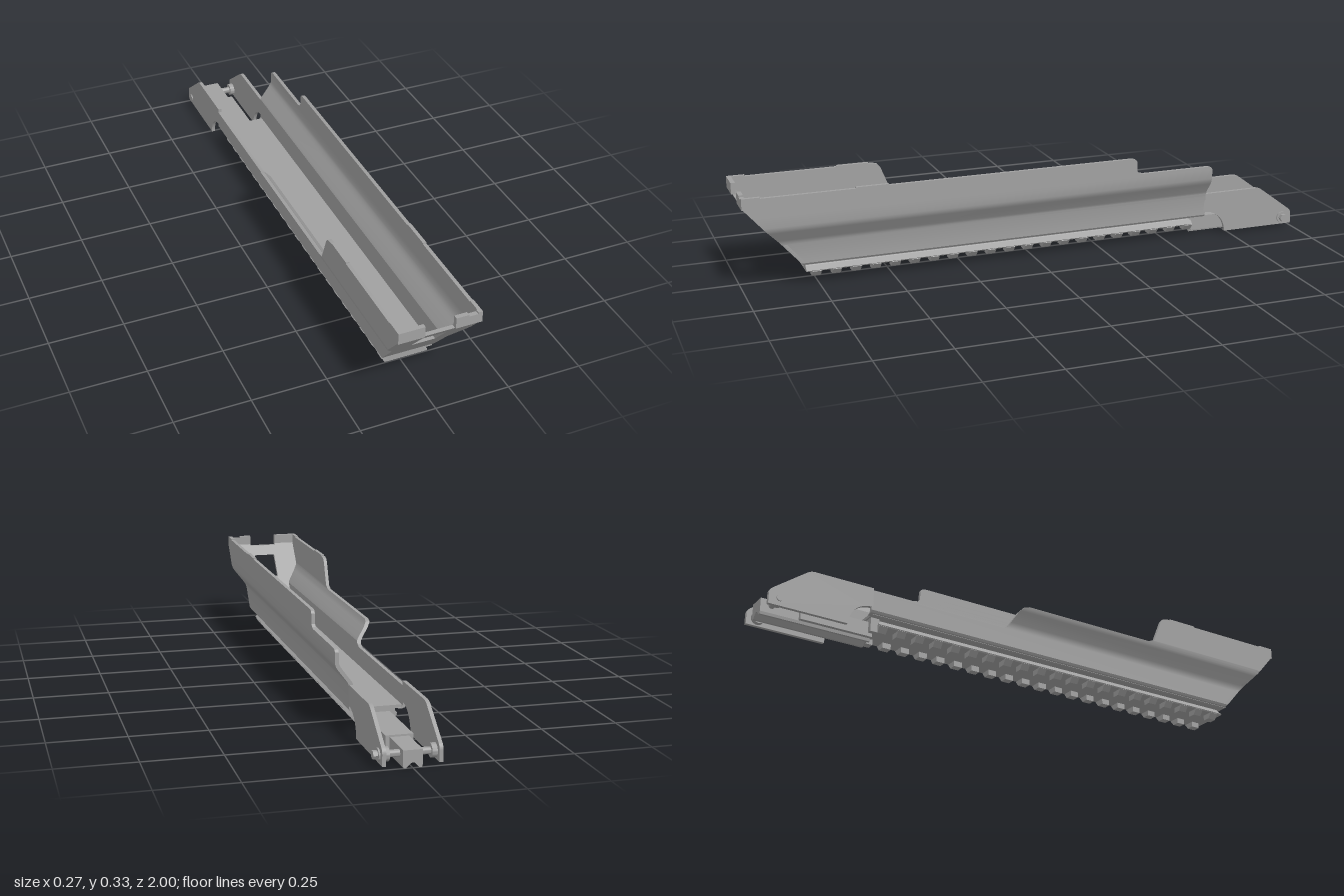
import * as THREE from 'three';
import { toCreasedNormals } from 'three/addons/utils/BufferGeometryUtils.js';

const steel = new THREE.MeshStandardMaterial({ color: 0xa0a0a0, side: THREE.DoubleSide });
steel.name = 'grey steel';

const T = 0.012; // sheet thickness
const SLOPE = 0.87; // lean of the front plate
const frontZ = (y) => Math.min(1, 0.8 + (y - 0.07) * SLOPE);

// half of the channel section: [y, x]
const SECTION = [[0.07, 0.078], [0.073, 0.087], [0.08, 0.092], [0.15, 0.092], [0.16, 0.0945],
  [0.168, 0.099], [0.205, 0.127], [0.215, 0.1335], [0.227, 0.137], [0.333, 0.137]];

function lerpTable(table, t) {
  for (let i = 1; i < table.length; i++) {
    const [a, u] = table[i - 1], [b, v] = table[i];
    if (t <= b) return u + (v - u) * Math.max(0, (t - a) / (b - a));
  }
  return table[table.length - 1][1];
}

function add(group, name, geometry) {
  const mesh = new THREE.Mesh(geometry, steel);
  mesh.name = name;
  group.add(mesh);
  return mesh;
}

function box(group, name, x0, x1, y0, y1, z0, z1) {
  const g = new THREE.BoxGeometry(x1 - x0, y1 - y0, z1 - z0);
  g.translate((x0 + x1) / 2, (y0 + y1) / 2, (z0 + z1) / 2);
  return add(group, name, g);
}

const polygon = (pts) => new THREE.Shape(pts.map(([x, y]) => new THREE.Vector2(x, y)));
const symmetric = (half) => polygon([...half, ...half.map(([x, y]) => [-x, y]).reverse()]);

function extrude(shape, z0, z1) {
  const g = new THREE.ExtrudeGeometry(shape, { depth: z1 - z0, bevelEnabled: false, curveSegments: 12 });
  return g.translate(0, 0, z0);
}

// pin pieces lying along x
function pin(group, name, radius, x0, x1, y, z, sides = 24) {
  const g = new THREE.CylinderGeometry(radius, radius, x1 - x0, sides);
  g.rotateZ(Math.PI / 2).translate((x0 + x1) / 2, y, z);
  add(group, name, toCreasedNormals(g, 0.6));
}

// bent side wall lofted upward; back is a table of [y, rear z]
function wallGeometry(side, back) {
  const top = back[back.length - 1][0];
  const ys = [...new Set([...SECTION, ...back].map((r) => r[0]))].filter((y) => y <= top);
  ys.push(0.3);
  ys.sort((a, b) => a - b);
  const pos = [], idx = [];
  ys.forEach((y) => {
    const xo = lerpTable(SECTION, y);
    const xi = xo - (y > 0.155 && y < 0.22 ? T * 1.22 : T);
    const zb = lerpTable(back, y), zf = frontZ(y);
    [[xo, zf], [xo, zb], [xi, zb], [xi, zf]].forEach(([x, z]) => pos.push(side * x, y, z));
  });
  const tri = (a, b, c) => (side > 0 ? idx.push(a, b, c) : idx.push(a, c, b));
  const quad = (a, b, c, d) => { tri(a, b, c); tri(a, c, d); };
  for (let i = 0; i < ys.length - 1; i++) {
    for (let k = 0; k < 4; k++) {
      const n = (k + 1) % 4, o = i * 4;
      quad(o + k, o + n, o + 4 + n, o + 4 + k);
    }
  }
  const e = (ys.length - 1) * 4;
  quad(e, e + 1, e + 2, e + 3);
  quad(3, 2, 1, 0);
  const g = new THREE.BufferGeometry();
  g.setAttribute('position', new THREE.Float32BufferAttribute(pos, 3));
  g.setIndex(idx);
  return toCreasedNormals(g, 0.5);
}

export function createModel() {
  const model = new THREE.Group();
  model.name = 'railChannel';

  // channel: floor and two bent walls with stepped rear edges
  box(model, 'channelFloor', -0.082, 0.082, 0.07, 0.08, -0.64, 0.805);
  add(model, 'leftWall', wallGeometry(1, [[0.07, -0.65], [0.262, -0.65], [0.269, -0.644],
    [0.272, -0.635], [0.2721, -0.385], [0.276, -0.37], [0.284, -0.362], [0.318, -0.36],
    [0.325, -0.355], [0.329, -0.345]]));
  add(model, 'rightWall', wallGeometry(-1, [[0.07, -0.65], [0.143, -0.65], [0.1431, -0.16],
    [0.15, -0.14], [0.2, -0.115], [0.217, -0.1], [0.222, -0.08], [0.2221, 0.42], [0.23, 0.445],
    [0.315, 0.48], [0.325, 0.49], [0.329, 0.505]]));

  // raised lips on the wall tops
  for (const s of [-1, 1]) {
    const x0 = s > 0 ? 0.125 : -0.137;
    box(model, 'wallLip', x0, x0 + T, 0.325, 0.333, 0.52, 0.63);
    box(model, 'wallFrontLip', x0, x0 + T, 0.325, 0.333, 0.94, 1);
  }

  // leaning front plate with a window
  const half = SECTION.filter((r) => r[0] < 0.3).map(([y, x]) => [x, y]);
  half.push([0.137, 0.3], [0.05, 0.3], [0.05, 0.294]);
  const plate = symmetric(half);
  plate.holes.push(new THREE.Path([[-0.04, 0.183], [-0.04, 0.26], [0.04, 0.26], [0.04, 0.183]]
    .map(([x, y]) => new THREE.Vector2(x, y))));
  const plateGeo = extrude(plate, -0.016, 0);
  const p = plateGeo.attributes.position;
  for (let i = 0; i < p.count; i++) p.setZ(i, p.getZ(i) + frontZ(p.getY(i)));
  plateGeo.computeVertexNormals();
  add(model, 'frontPlate', plateGeo);

  // upright front tabs, the left one notched
  box(model, 'rightTab', -0.137, -0.05, 0.295, 0.333, 0.985, 1);
  add(model, 'leftTab', extrude(polygon([[0.05, 0.295], [0.137, 0.295], [0.137, 0.333],
    [0.122, 0.333], [0.122, 0.327], [0.092, 0.327], [0.092, 0.333], [0.05, 0.333]]), 0.985, 1));

  // accessory rail under the floor
  add(model, 'railBase', extrude(symmetric([[0.047, 0.071], [0.058, 0.058], [0.075, 0.045],
    [0.072, 0.041]]), -0.61, 0.79));
  for (let i = 0; i < 21; i++) {
    const z = 0.755 - i * 0.0675;
    for (const s of [-1, 1]) {
      const tooth = [[0.034, 0.046], [0.07, 0.046], [0.075, 0.041], [0.06, 0.022], [0.034, 0.022]];
      add(model, 'railTooth', extrude(polygon(tooth.map(([x, y]) => [s * x, y])), z - 0.015, z + 0.015));
    }
  }

  // rear stop block and grooved tail
  box(model, 'railStop', -0.06, 0.06, 0.022, 0.07, -0.635, -0.605);
  const tail = [[0.043, 0.06], [0.043, 0.01], [0.03, 0.01], [0.028, 0], [0.02, 0], [0.005, 0.017]];
  add(model, 'tailBar', extrude(symmetric(tail), -0.87, -0.62));
  add(model, 'tailEnd', extrude(symmetric(tail.map(([x, y]) => [Math.min(x, 0.03), y * 0.9])), -1, -0.87));

  // rear ears with a curved relief at the lower front
  const ear = new THREE.Shape();
  ear.moveTo(0.645, 0.157);
  ear.lineTo(0.85, 0.157);
  ear.quadraticCurveTo(0.865, 0.157, 0.878, 0.148);
  ear.lineTo(0.99, 0.065);
  ear.quadraticCurveTo(1, 0.057, 1, 0.045);
  ear.lineTo(1, 0.01);
  ear.lineTo(0.73, 0.01);
  ear.absarc(0.65, 0.01, 0.08, 0, Math.PI / 2, false);
  ear.lineTo(0.645, 0.09);
  for (const x of [-0.092, 0.092 - T]) {
    const g = extrude(ear, 0, T);
    g.rotateY(Math.PI / 2).translate(x, 0, 0);
    add(model, 'rearEar', g);
  }

  // cross pin with spacers, washer and head
  const y = 0.036, z = -0.963;
  pin(model, 'crossPin', 0.011, -0.096, 0.1, y, z);
  pin(model, 'rightSpacer', 0.022, -0.081, -0.064, y, z);
  pin(model, 'leftSpacer', 0.022, 0.064, 0.081, y, z);
  pin(model, 'pinWasher', 0.02, 0.091, 0.097, y, z);
  pin(model, 'pinHead', 0.014, 0.097, 0.111, y, z, 6);
  return model;
}
